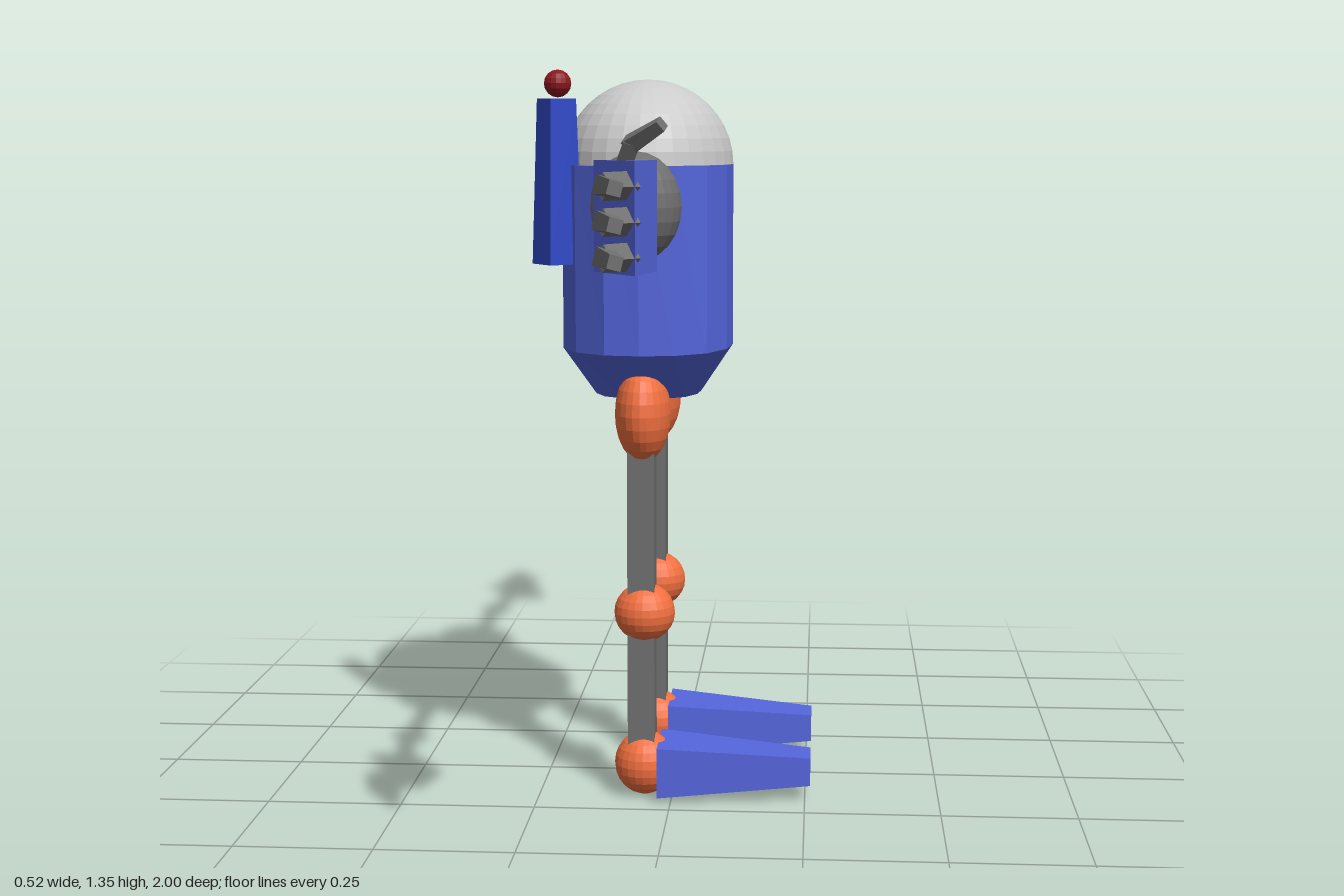
import * as THREE from 'three';
import { ConvexGeometry } from 'three/addons/geometries/ConvexGeometry.js';

const V = (x, y, z) => new THREE.Vector3(x, y, z);
const mat = (color) => new THREE.MeshStandardMaterial({ color, flatShading: true });
const CX = -0.055; // body axis

export function createModel() {
  const model = new THREE.Group();
  const blue = mat(0x5566dd), deepBlue = mat(0x2f48c8), orange = mat(0xf27040);
  const grey = mat(0x707070), pale = mat(0xcccccc), red = mat(0x8c1820);

  const add = (parent, name, geo, material) => {
    const mesh = new THREE.Mesh(geo, material);
    mesh.name = name;
    parent.add(mesh);
    return mesh;
  };
  const ball = (parent, name, c, rx, ry, rz, material, seg = 24) =>
    add(parent, name, new THREE.SphereGeometry(1, seg, seg / 2).scale(rx, ry, rz).translate(c.x, c.y, c.z), material);
  // Tapered rod from a to b
  const rod = (parent, name, a, b, r0, r1, sides, material) => {
    const dir = b.clone().sub(a);
    const geo = new THREE.CylinderGeometry(r1, r0, dir.length(), sides).rotateY(Math.PI / sides);
    const mesh = add(parent, name, geo, material);
    mesh.quaternion.setFromUnitVectors(V(0, 1, 0), dir.normalize());
    mesh.position.copy(a).add(b).multiplyScalar(0.5);
  };

  // Torso: rounded-oval shell with a tapered underside
  const profile = [[0, 0.75], [0.1, 0.75], [0.16, 0.84], [0.16, 1.18], [0, 1.18]];
  const torso = new THREE.LatheGeometry(profile.map((p) => new THREE.Vector2(...p)), 16);
  const pos = torso.attributes.position;
  for (let i = 0; i < pos.count; i++) {
    const x = pos.getX(i), y = pos.getY(i), z = pos.getZ(i), angle = Math.atan2(z, x);
    const k = (Math.abs(Math.cos(angle)) ** 2.4 + Math.abs(Math.sin(angle)) ** 2.4) ** (-1 / 2.4);
    const depth = y > 1 ? 1.52 : y > 0.8 ? 1.46 : 1.34;
    pos.setXYZ(i, CX + x * k, y, z * k * depth);
  }
  torso.computeVertexNormals();
  add(model, 'torso', torso, blue);

  // Domed head
  const dome = new THREE.SphereGeometry(1, 32, 10, 0, Math.PI * 2, 0, Math.PI / 2);
  add(model, 'headDome', dome.scale(0.16, 0.157, 0.217).translate(CX, 1.18, 0), pale);

  // Antenna at the back
  const mast = new THREE.CylinderGeometry(0.037, 0.048, 0.3, 4).rotateY(-0.16).translate(-0.211, 1.15, 0.145);
  add(model, 'antennaMast', mast, deepBlue);
  ball(model, 'antennaTip', V(-0.208, 1.327, 0.15), 0.025, 0.025, 0.025, red, 16);

  for (const s of [1, -1]) {
    const side = s > 0 ? 'front' : 'rear';

    // Arm stretched sideways
    const arm = new THREE.Group();
    arm.name = side + 'Arm';
    const A = (x, y, z) => V(x, y, z * s);
    ball(arm, 'shoulder', A(CX, 1.11, 0.277), 0.081, 0.097, 0.085, grey);
    rod(arm, 'shoulderCollar', A(-0.055, 1.11, 0.34), A(-0.055, 1.11, 0.378), 0.021, 0.021, 12, blue);
    rod(arm, 'upperArm', A(-0.055, 1.11, 0.35), A(-0.053, 1.11, 0.58), 0.016, 0.016, 8, grey);
    ball(arm, 'elbow', A(-0.053, 1.11, 0.58), 0.036, 0.036, 0.036, orange, 16);
    rod(arm, 'forearm', A(-0.053, 1.11, 0.58), A(-0.036, 1.11, 0.79), 0.016, 0.016, 8, grey);

    // Wedge-shaped palm, three bent fingers and a thumb
    const palm = [1.03, 1.2].flatMap((y) => [A(-0.075, y, 0.787), A(0.02, y, 0.767), A(-0.004, y, 0.88)]);
    add(arm, 'palm', new ConvexGeometry(palm), blue);
    for (const y of [1.057, 1.11, 1.163]) {
      rod(arm, 'fingerBase', A(-0.012, y, 0.855), A(-0.05, y, 0.897), 0.022, 0.021, 4, grey);
      rod(arm, 'fingerTip', A(-0.05, y, 0.888), A(-0.022, y, 0.998), 0.021, 0.015, 4, grey);
    }
    rod(arm, 'thumbBase', A(-0.03, 1.185, 0.805), A(-0.012, 1.228, 0.827), 0.018, 0.018, 4, grey);
    rod(arm, 'thumbTip', A(-0.018, 1.222, 0.822), A(0.035, 1.254, 0.855), 0.018, 0.013, 4, grey);
    model.add(arm);

    // Leg
    const leg = new THREE.Group();
    leg.name = side + 'Leg';
    const z = 0.147 * s;
    ball(leg, 'hip', V(CX, 0.725, 0.14 * s), 0.052, 0.092, 0.08, orange);
    add(leg, 'legPost', new THREE.BoxGeometry(0.05, 0.62, 0.058).translate(-0.057, 0.38, z), grey);
    ball(leg, 'knee', V(-0.052, 0.35, z), 0.057, 0.055, 0.057, orange);
    ball(leg, 'ankle', V(-0.052, 0.06, z), 0.057, 0.06, 0.057, orange);
    const foot = [[-0.025, 0.01, 0.105, 0.068], [0.26, 0.03, 0.083, 0.036]].flatMap(([x, y0, y1, w]) =>
      [V(x, y0, z - w), V(x, y0, z + w), V(x, y1, z - w), V(x, y1, z + w)]);
    add(leg, 'foot', new ConvexGeometry(foot), blue);
    model.add(leg);
  }
  return model;
}
